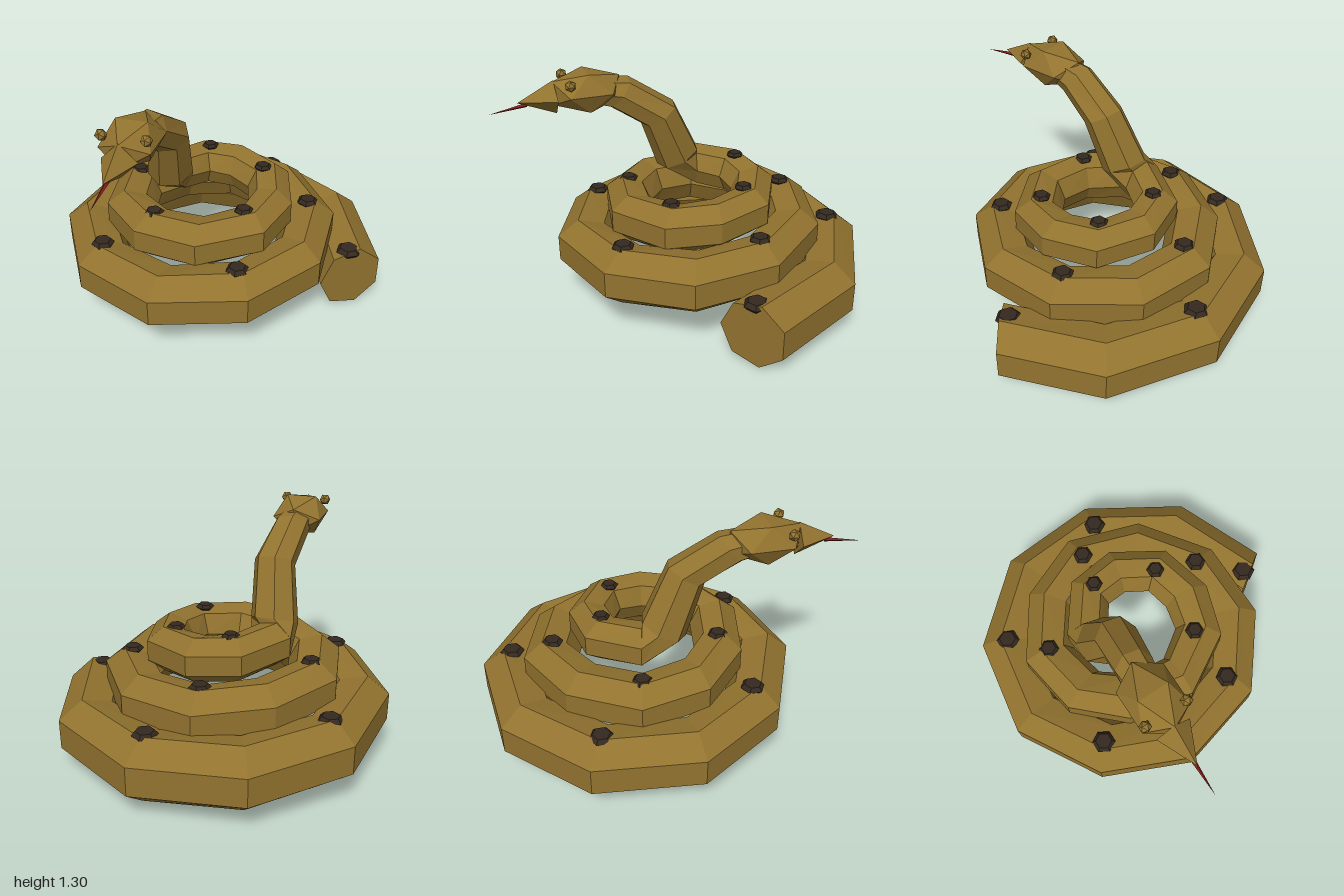
import * as THREE from 'three';

const SIDES = 7;
const scaleSkin = new THREE.MeshStandardMaterial({ color: 0x92732f });
scaleSkin.name = 'ochre skin';
const spotDark = new THREE.MeshStandardMaterial({ color: 0x33291f });
spotDark.name = 'dark spot';
const tongueRed = new THREE.MeshStandardMaterial({ color: 0x8a1c1c });
tongueRed.name = 'tongue red';

// Faceted mesh: split faces so every one gets its own normal
function faceted(name, geometry, material) {
  const g = geometry.index ? geometry.toNonIndexed() : geometry;
  g.computeVertexNormals();
  const mesh = new THREE.Mesh(g, material);
  mesh.name = name;
  return mesh;
}

// Skin a run of rings { c: centre, u: outward, v: up, r: radius }, with end caps
function sweep(rings) {
  const pos = [], idx = [];
  for (const { c, u, v, r } of rings) {
    for (let j = 0; j < SIDES; j++) {
      const a = Math.PI + (j / SIDES) * Math.PI * 2;
      const p = c.clone().addScaledVector(u, r * Math.cos(a)).addScaledVector(v, r * Math.sin(a));
      pos.push(p.x, p.y, p.z);
    }
  }
  const last = (rings.length - 1) * SIDES;
  for (let i = 0; i < last; i += SIDES) {
    for (let j = 0; j < SIDES; j++) {
      const k = (j + 1) % SIDES;
      idx.push(i + j, i + SIDES + j, i + SIDES + k, i + j, i + SIDES + k, i + k);
    }
  }
  for (let j = 1; j < SIDES - 1; j++) {
    idx.push(0, j, j + 1, last, last + j + 1, last + j);
  }
  const g = new THREE.BufferGeometry();
  g.setAttribute('position', new THREE.Float32BufferAttribute(pos, 3));
  g.setIndex(idx);
  return g;
}

function bodyRings() {
  // Outer edge of the coils in plan (x, z), from the tail inwards
  const outer = [
    [0.91, -0.16], [0.69, -0.69], [0.16, -1.0], [-0.42, -0.93], [-0.83, -0.53], [-0.91, 0.03],
    [-0.64, 0.49], [-0.17, 0.70], [0.32, 0.57], [0.62, 0.19], [0.62, -0.27], [0.34, -0.65],
    [-0.08, -0.77], [-0.45, -0.59], [-0.67, -0.24], [-0.61, 0.12], [-0.36, 0.36], [0.0, 0.43],
    [0.32, 0.24], [0.41, -0.04], [0.33, -0.34], [0.05, -0.5], [-0.23, -0.45], [-0.41, -0.19],
  ];
  const up = new THREE.Vector3(0, 1, 0);
  const rings = outer.map(([x, z], k) => {
    const r = 0.19 - 0.003 * k;
    const u = new THREE.Vector3(x + 0.03, 0, z + 0.1).normalize();
    if (k === 0) u.set(0.81, 0, -0.58).normalize();
    const c = new THREE.Vector3(x, 0.19 + 0.0205 * k, z).addScaledVector(u, -0.9 * r);
    return { c, u, v: up, r };
  });
  // Raised neck: centre x, y, z, radius, tilt of the ring (y, z)
  const neck = [
    [-0.285, 0.745, -0.05, 0.13, 0.42, -0.91],
    [-0.245, 1.03, 0.075, 0.112, 0.5, -0.86],
    [-0.275, 1.17, 0.29, 0.1, 0.77, -0.63],
    [-0.285, 1.2, 0.48, 0.075, 1, 0],
  ];
  for (const [x, y, z, r, vy, vz] of neck) {
    rings.push({
      c: new THREE.Vector3(x, y, z), u: new THREE.Vector3(-1, 0, 0),
      v: new THREE.Vector3(0, vy, vz).normalize(), r,
    });
  }
  return rings;
}

export function createModel() {
  const model = new THREE.Group();
  model.name = 'coiledSnake';
  model.add(faceted('coiledBody', sweep(bodyRings()), scaleSkin));

  // Head, snout, eyes and tongue
  const head = new THREE.Group();
  head.name = 'head';
  head.position.set(-0.285, 1.2, 0);
  const skull = faceted('skull', new THREE.IcosahedronGeometry(1, 0), scaleSkin);
  skull.scale.set(0.155, 0.122, 0.215);
  skull.position.set(0, 0, 0.465);
  const snout = faceted('snout', new THREE.ConeGeometry(0.092, 0.2, 4).rotateX(Math.PI / 2), scaleSkin);
  snout.position.set(0, -0.025, 0.735);
  snout.rotation.x = 0.05;
  const tongue = faceted('tongue', new THREE.ConeGeometry(0.012, 0.2, 4).rotateX(Math.PI / 2), tongueRed);
  tongue.position.set(0, -0.06, 0.886);
  tongue.rotation.x = 0.15;
  head.add(skull, snout, tongue);
  for (const s of [-1, 1]) {
    const eye = faceted(s > 0 ? 'leftEye' : 'rightEye', new THREE.IcosahedronGeometry(0.031, 0), scaleSkin);
    eye.position.set(s * 0.112, 0.065, 0.572);
    head.add(eye);
  }
  model.add(head);

  // Six-sided bevelled spots on top of the coils
  const profile = [[0, -0.33], [0.7, -0.33], [1, 0], [0.7, 0.33], [0, 0.33]].map(([x, y]) => new THREE.Vector2(x, y));
  const spots = new THREE.Group();
  spots.name = 'spots';
  const places = [
    [0.74, 0.35, -0.09], [0.13, 0.4, -0.83], [-0.69, 0.43, -0.45], [-0.54, 0.475, 0.37],
    [0.23, 0.51, 0.44], [0.47, 0.545, -0.23], [-0.07, 0.58, -0.61], [-0.53, 0.61, -0.21],
    [-0.28, 0.645, 0.25], [0.19, 0.685, 0.16], [0.2, 0.72, -0.25], [-0.14, 0.755, -0.35],
  ];
  for (const [x, y, z] of places) {
    const spot = faceted('spot', new THREE.LatheGeometry(profile, 6), spotDark);
    spot.scale.setScalar(0.09 - 0.055 * y);
    spot.position.set(x, y, z);
    spots.add(spot);
  }
  model.add(spots);
  return model;
}
